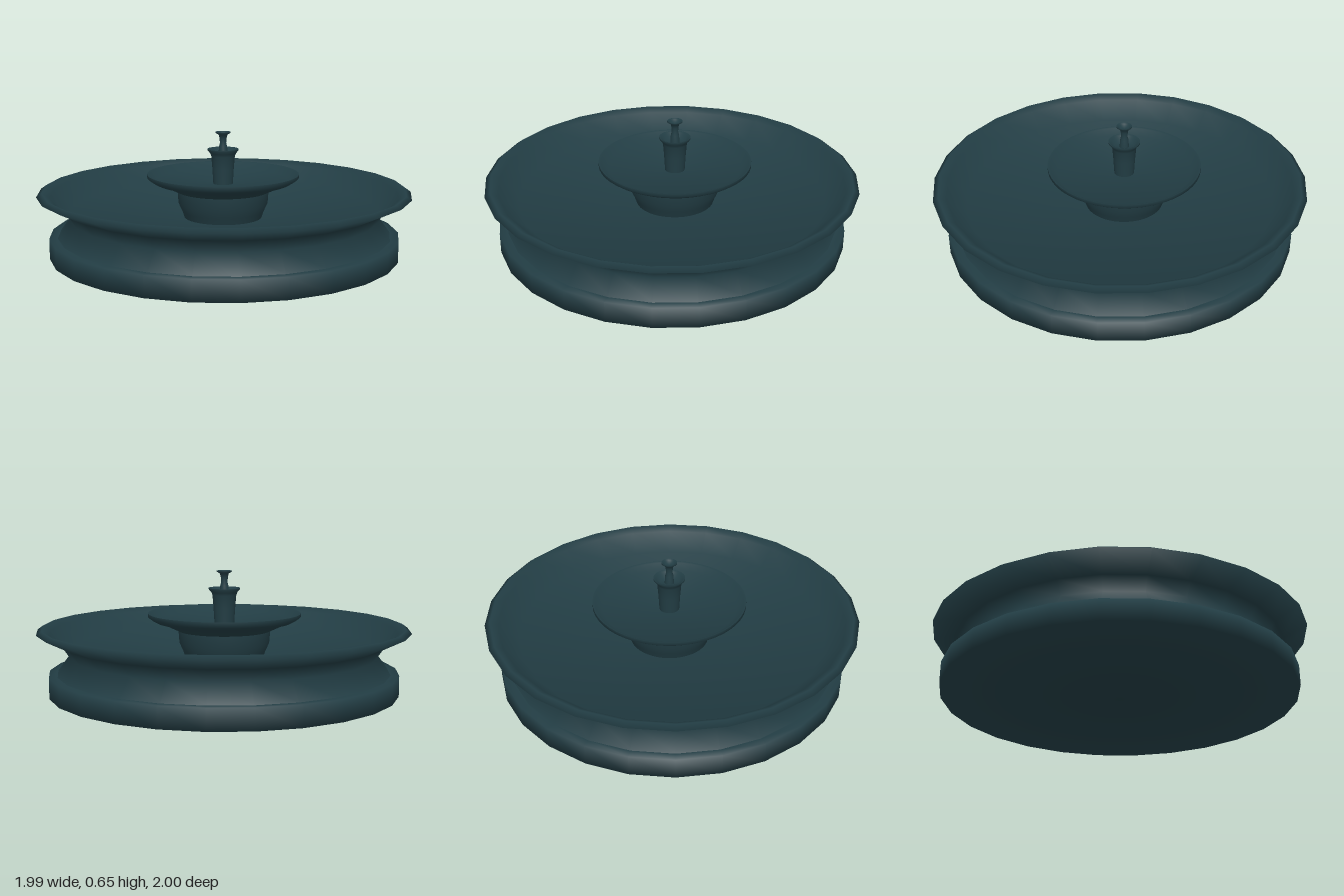
import * as THREE from 'three';

const stone = new THREE.MeshStandardMaterial({ color: 0x223d44 });
stone.name = 'darkTealStone';

// Lathe whose normals weigh both neighbouring profile segments equally
function smoothLathe(profile, sides) {
  const points = profile.map(([r, y]) => new THREE.Vector2(r, y));
  const geometry = new THREE.LatheGeometry(points, sides);
  const segments = points.slice(1).map((p, j) => {
    const d = p.clone().sub(points[j]).normalize();
    return new THREE.Vector2(d.y, -d.x);
  });
  const last = points.length - 1;
  points.forEach((_, j) => {
    const n = segments[Math.max(j - 1, 0)].clone().add(segments[Math.min(j, last - 1)]).normalize();
    for (let i = 0; i <= sides; i++) {
      const a = (i / sides) * Math.PI * 2;
      geometry.attributes.normal.setXYZ(i * points.length + j, n.x * Math.sin(a), n.y, n.x * Math.cos(a));
    }
  });
  return geometry;
}

// Turned part made of smooth strips; the edges between strips stay sharp.
function turned(name, sides, strips) {
  const part = new THREE.Group();
  part.name = name;
  strips.forEach((strip, i) => {
    const mesh = new THREE.Mesh(smoothLathe(strip, sides), stone);
    mesh.name = `${name}Surface${i + 1}`;
    part.add(mesh);
  });
  return part;
}

export function createModel() {
  const fountain = new THREE.Group();
  fountain.name = 'fountain';

  // Wide basin: plinth, pinched wall, flared rim and sunken floor
  fountain.add(turned('basinPlinth', 26, [
    [[0, 0], [0.94, 0], [0.94, 0.11], [0.895, 0.11]],
  ]));
  fountain.add(turned('basin', 26, [
    [[0.895, 0.11], [0.825, 0.205], [0.868, 0.27], [1, 0.335], [0.972, 0.355],
      [0.93, 0.33], [0.83, 0.235], [0, 0.17]],
  ]));

  // Upper tiers stand slightly behind the basin centre
  const tiers = new THREE.Group();
  tiers.name = 'upperTiers';
  tiers.position.z = -0.023;
  fountain.add(tiers);

  // Middle bowl on its flared foot
  tiers.add(turned('middleBowlFoot', 48, [
    [[0.205, 0.17], [0.222, 0.22], [0.242, 0.265], [0.247, 0.33]],
  ]));
  tiers.add(turned('middleBowl', 48, [
    [[0.247, 0.33], [0.3, 0.355], [0.33, 0.37], [0.365, 0.378], [0.39, 0.392], [0.41, 0.407],
      [0.41, 0.425]],
    [[0.41, 0.425], [0.397, 0.421], [0.36, 0.39], [0, 0.365]],
  ]));

  // Small cup
  tiers.add(turned('cup', 32, [
    [[0.053, 0.365], [0.058, 0.45], [0.064, 0.52], [0.07, 0.535], [0.084, 0.551], [0.084, 0.558]],
    [[0.084, 0.558], [0.07, 0.553], [0.05, 0.53], [0, 0.525]],
  ]));

  // Nozzle with a flared tip
  tiers.add(turned('nozzle', 24, [
    [[0.025, 0.525], [0.022, 0.57], [0.017, 0.59], [0.019, 0.615], [0.024, 0.635], [0.041, 0.645],
      [0.041, 0.65]],
    [[0.041, 0.65], [0.03, 0.645], [0.022, 0.635], [0, 0.633]],
  ]));

  return fountain;
}
